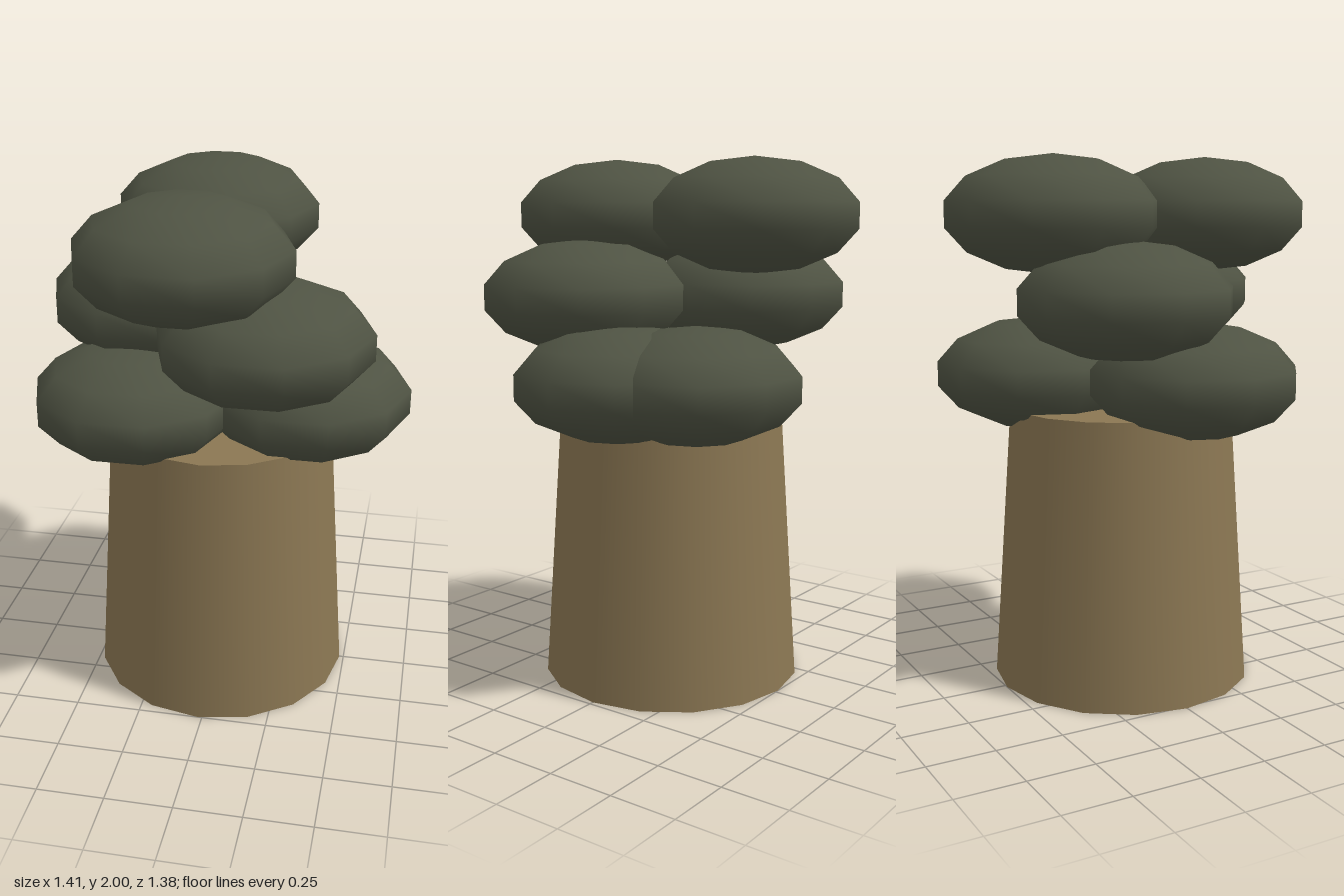
import * as THREE from 'three';

export function createModel() {
  const model = new THREE.Group();
  model.name = 'tree';
  const bark = new THREE.MeshStandardMaterial({ color: 0x8b7753 });
  const leaves = new THREE.MeshStandardMaterial({ color: 0x4f5343 });
  const centreX = -0.0165;

  // Thick tapering trunk
  const trunkHeight = 1.06;
  const trunk = new THREE.Mesh(new THREE.CylinderGeometry(0.43, 0.5, trunkHeight, 16), bark);
  trunk.name = 'trunk';
  trunk.position.set(centreX, trunkHeight / 2, 0);
  model.add(trunk);

  // Seven flattened leaf clumps in a ring, stepping through three heights
  const clumpGeometry = new THREE.SphereGeometry(0.4, 10, 7);
  clumpGeometry.scale(1, 0.5375, 1);
  const count = 7, ringRadius = 0.329;
  for (let i = 0; i < count; i++) {
    const angle = (i / count) * Math.PI * 2;
    const clump = new THREE.Mesh(clumpGeometry, leaves);
    clump.name = `leafClump${i + 1}`;
    clump.position.set(
      centreX + Math.cos(angle) * ringRadius,
      1.18 + (i % 3) * 0.3025,
      Math.sin(angle) * ringRadius
    );
    model.add(clump);
  }
  return model;
}
